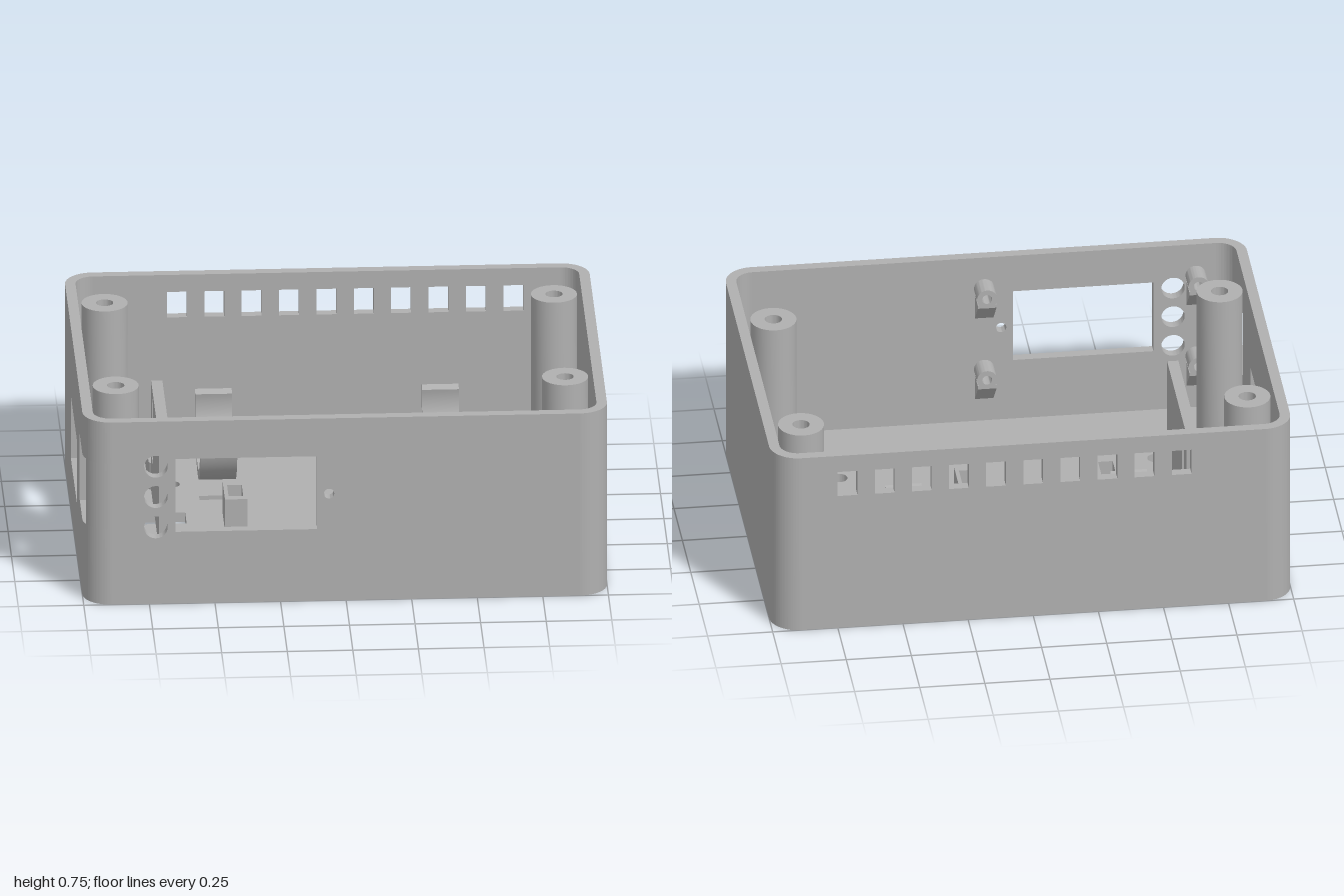
import * as THREE from 'three';
import { toCreasedNormals } from 'three/addons/utils/BufferGeometryUtils.js';

const T = 0.04;          // wall thickness
const H = 0.75;          // total height
const R = 0.11;          // outer corner radius
const X = 1, Z = 0.75;   // half sizes

const poly = (pts) => new THREE.Shape(pts.map(([a, b]) => new THREE.Vector2(a, b)));
const rect = (a0, a1, b0, b1) => poly([[a0, b0], [a1, b0], [a1, b1], [a0, b1]]);
const circle = (a, b, r) => new THREE.Shape().absarc(a, b, r, 0, Math.PI * 2, false);

// Rounded rectangle centred on (a, b)
function roundRect(a, b, ha, hb, r) {
  const s = new THREE.Shape();
  s.absarc(a + ha - r, b + hb - r, r, 0, Math.PI / 2);
  s.absarc(a - ha + r, b + hb - r, r, Math.PI / 2, Math.PI);
  s.absarc(a - ha + r, b - hb + r, r, Math.PI, Math.PI * 1.5);
  s.absarc(a + ha - r, b - hb + r, r, Math.PI * 1.5, Math.PI * 2);
  s.closePath();
  return s;
}

export function createModel() {
  const model = new THREE.Group();
  model.name = 'enclosureBase';
  const grey = new THREE.MeshStandardMaterial({ color: 0xb0b0b0 });
  grey.name = 'grey plastic';

  function add(name, geo) {
    const mesh = new THREE.Mesh(toCreasedNormals(geo, 0.6), grey);
    mesh.name = name;
    model.add(mesh);
  }
  function extrude(shape, holes, depth) {
    shape.holes.push(...holes);
    return new THREE.ExtrudeGeometry(shape, { depth, bevelEnabled: false, curveSegments: 24 });
  }
  // Shape in (x, y), from z0 to z1
  const facing = (name, shape, z0, z1, holes = []) =>
    add(name, extrude(shape, holes, z1 - z0).translate(0, 0, z0));
  // Shape in (z, y), from x0 to x1
  const sideways = (name, shape, x0, x1, holes = []) =>
    add(name, extrude(shape, holes, x1 - x0).rotateY(-Math.PI / 2).translate(x1, 0, 0));
  // Shape in (x, z), from y0 to y1
  const flat = (name, shape, y0, y1, holes = []) =>
    add(name, extrude(shape, holes, y1 - y0).rotateX(Math.PI / 2).translate(0, y1, 0));

  const posts = [[-0.858, -0.47], [0.855, -0.47], [-0.858, 0.355], [0.855, 0.355]];
  const clipXs = [-0.435, 0.43];

  // Floor with its openings
  const floorHoles = posts.map(([x, z]) => circle(x, z, 0.073));
  for (const x of [-0.61, 0.605]) for (const z of [-0.342, 0.335]) floorHoles.push(circle(x, z, 0.032));
  for (const x of clipXs) for (const z of [-0.655, -0.2]) {
    floorHoles.push(rect(x - 0.076, x + 0.076, z - 0.02, z + 0.02));
  }
  floorHoles.push(rect(-0.755, -0.572, -0.06, 0.052));
  flat('floor', roundRect(0, 0, X - T, Z - T, R - T), 0, T, floorHoles);

  // Front wall: window, three button holes and a pin hole
  const fx = X - R, fz = Z - R;
  facing('frontWall', rect(-fx, fx, 0, H), Z - T, Z, [
    rect(-0.65, -0.11, 0.295, 0.595),
    ...[0.315, 0.44, 0.565].map((y) => circle(-0.725, y, 0.045)),
    circle(-0.065, 0.44, 0.02),
  ]);

  // Back wall with a row of vents
  const vents = [];
  for (let i = 0; i < 10; i++) {
    const x = -0.57 + i * 0.1425;
    vents.push(rect(x - 0.038, x + 0.038, 0.575, 0.68));
  }
  facing('backWall', rect(-fx, fx, 0, H), -Z, -Z + T, vents);

  // Side walls; the one at -x has a socket opening and a slot running into the corner
  const slot0 = 0.31, slot1 = 0.58;
  sideways('leftWall', rect(-fz, fz, 0, H), X - T, X);
  sideways('rightWall', poly([
    [-fz, 0], [fz, 0], [fz, slot0], [0.45, slot0], [0.45, slot1], [fz, slot1], [fz, H], [-fz, H],
  ]), -X, -X + T, [rect(-0.212, 0.228, 0.21, 0.47)]);

  // Rounded corners
  function corner(sx, sz, a0, a1, y0, y1) {
    const s = new THREE.Shape();
    s.absarc(sx * fx, sz * fz, R, a0, a1, false);
    s.absarc(sx * fx, sz * fz, R - T, a1, a0, true);
    s.closePath();
    flat('corner', s, y0, y1);
  }
  const q = Math.PI / 2;
  corner(1, 1, 0, q, 0, H);
  corner(-1, -1, 2 * q, 3 * q, 0, H);
  corner(1, -1, 3 * q, 4 * q, 0, H);
  corner(-1, 1, q, 2 * q, 0, slot0);
  corner(-1, 1, q, 2 * q - 0.47, slot0, slot1);
  corner(-1, 1, q, 2 * q, slot1, H);

  // Screw posts, counterbored from below
  const postProfile = [
    [0.073, 0], [0.088, 0.01], [0.088, 0.74], [0.033, 0.74], [0.033, 0.05], [0.073, 0.05], [0.073, 0],
  ].map(([r, y]) => new THREE.Vector2(r, y));
  for (const [x, z] of posts) {
    add('screwPost', new THREE.LatheGeometry(postProfile, 32).translate(x, 0, z));
  }

  // C-shaped snap clips
  for (const x of clipXs) {
    const s = new THREE.Shape();
    const tip = 0.22;
    s.absarc(-0.43, 0.258, 0.22, Math.PI - tip, Math.PI * 2 + tip, false);
    s.absarc(-0.43, 0.258, 0.183, Math.PI * 2 + tip, Math.PI - tip, true);
    s.closePath();
    sideways('snapClip', s, x - 0.07, x + 0.07);
  }

  // Dividing plate and low guide ribs
  sideways('divider', rect(-0.29, 0.28, T, 0.49), -0.69, -0.647, [rect(-0.225, -0.155, 0.2, 0.45)]);
  for (const x of [-0.682, 0.692]) {
    flat('guideRib', roundRect(x, -0.43, 0.017, 0.14, 0.014), T, 0.15);
  }

  // Small hollow sockets and pins on the floor
  for (const x of [-0.387, 0.147]) {
    flat('socket', rect(x - 0.043, x + 0.043, -0.04, 0.135), T, 0.17,
      [rect(x - 0.028, x + 0.028, -0.008, 0.103)]);
  }
  for (const x of [0.4, 0.763]) {
    flat('pinBoss', circle(x, -0.063, 0.045), T, 0.17, [circle(x, -0.063, 0.018)]);
  }

  // Screw bosses behind the front wall, each on a gusset
  for (const x of [-0.812, 0]) for (const y of [0.265, 0.617]) {
    facing('wallBoss', circle(x, y, 0.039), 0.62, Z - T, [circle(x, y, 0.019)]);
    sideways('bossGusset', poly([[0.62, y - 0.024], [Z - T, y - 0.024], [Z - T, y - 0.13], [0.62, y - 0.038]]),
      x - 0.036, x + 0.036);
  }

  return model;
}
